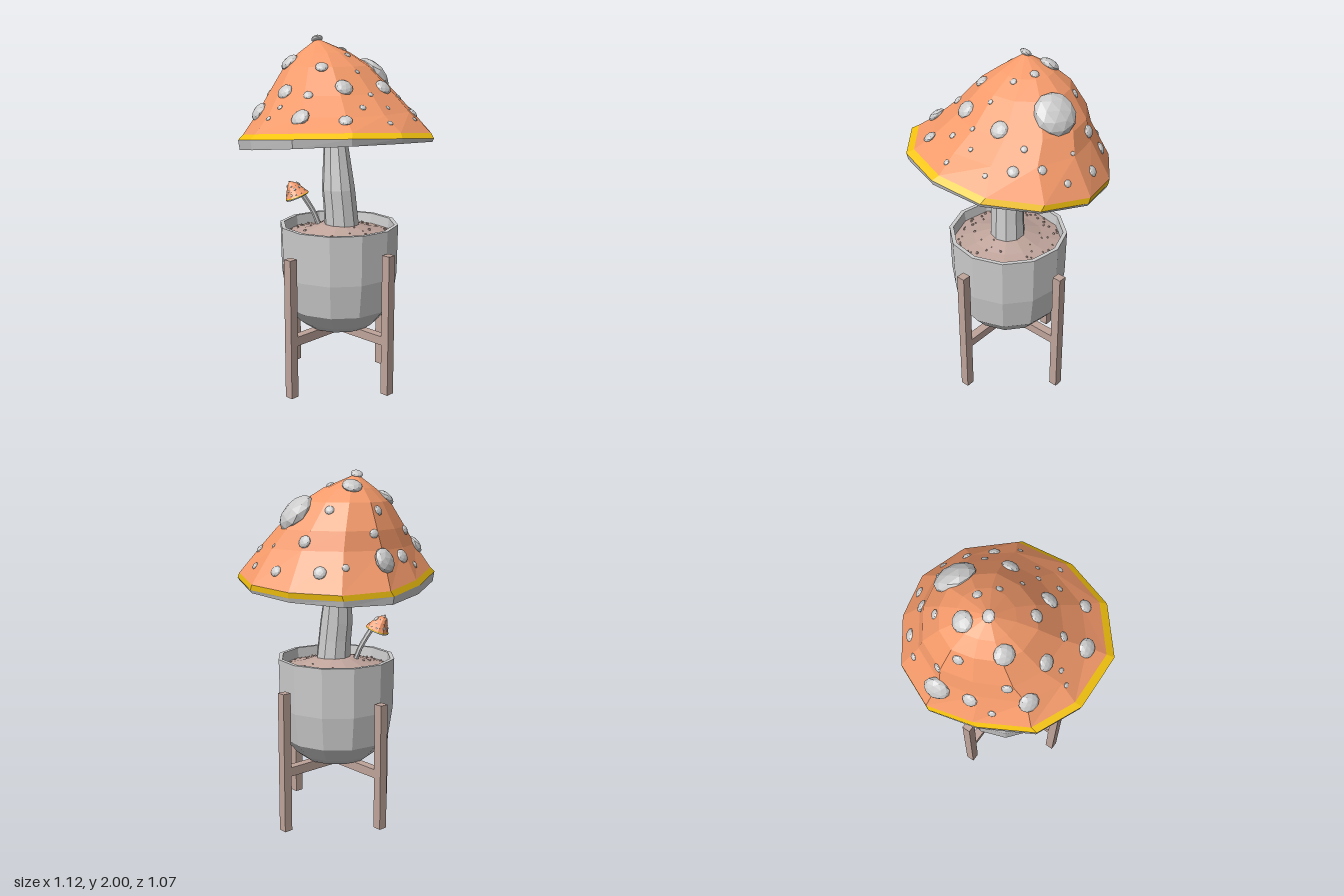
import * as THREE from 'three';

const mat = (color, side = THREE.FrontSide) =>
  new THREE.MeshStandardMaterial({ color, side, flatShading: true });
const grey = mat(0xcccccc);
const greyThin = mat(0xcccccc, THREE.DoubleSide);
const orange = mat(0xf59a6a);
const yellow = mat(0xf5c40f);
const wood = mat(0xbfa49b);

function add(parent, name, geometry, material, x = 0, y = 0, z = 0) {
  const mesh = new THREE.Mesh(geometry, material);
  mesh.name = name;
  mesh.position.set(x, y, z);
  parent.add(mesh);
  return mesh;
}

// Scaled copy of an outline at height y, optionally tilted along x and z
const ring = (outline, scale, cx, cz, y, tiltX = 0, tiltZ = 0) =>
  outline.map(([ox, oz]) => {
    const x = ox * scale + cx, z = oz * scale + cz;
    return [x, y + tiltX * x + tiltZ * z, z];
  });

// Skin through rings listed from top to bottom (outside faces out)
function loft(rings) {
  const pos = [];
  for (let r = 0; r < rings.length - 1; r++) {
    const top = rings[r], bottom = rings[r + 1], n = top.length;
    for (let i = 0; i < n; i++) {
      const j = (i + 1) % n;
      pos.push(...top[i], ...top[j], ...bottom[j], ...top[i], ...bottom[j], ...bottom[i]);
    }
  }
  const g = new THREE.BufferGeometry();
  g.setAttribute('position', new THREE.Float32BufferAttribute(pos, 3));
  g.computeVertexNormals();
  return g;
}

const circle = (n) => Array.from({ length: n }, (_, i) => {
  const a = (i / n) * Math.PI * 2;
  return [Math.sin(a), -Math.cos(a)];
});

// Irregular cap rim, seen from above
const RIM = [[0.08, -0.535], [0.33, -0.43], [0.5, -0.2], [0.555, 0.05], [0.455, 0.31], [0.225, 0.5],
  [-0.075, 0.53], [-0.355, 0.44], [-0.55, 0.215], [-0.56, -0.09], [-0.45, -0.325], [-0.18, -0.47]];

// Spots: x, z, radius
const SPOTS = [
  [0.07, -0.455, 0.07], [-0.1, -0.41, 0.04], [-0.22, -0.39, 0.02], [0.095, -0.4, 0.024],
  [0.01, -0.34, 0.028], [0.275, -0.385, 0.02], [0.37, -0.295, 0.035], [-0.35, -0.26, 0.055],
  [-0.24, -0.29, 0.028], [-0.165, -0.21, 0.055], [0.075, -0.21, 0.055], [0.24, -0.22, 0.025],
  [0.37, -0.175, 0.035], [-0.024, -0.137, 0.033], [-0.32, -0.08, 0.045], [-0.39, -0.045, 0.015],
  [-0.445, -0.075, 0.014], [0.1, -0.06, 0.024], [0.285, 0, 0.115], [0.48, -0.075, 0.03],
  [0.42, 0.02, 0.012], [0.04, 0.035, 0.018], [-0.17, 0.045, 0.035], [-0.31, 0.085, 0.026],
  [-0.42, 0.14, 0.052], [-0.01, 0.155, 0.014], [-0.15, 0.19, 0.05], [0.115, 0.23, 0.048],
  [0.47, 0.12, 0.02], [0.375, 0.205, 0.024], [0.265, 0.215, 0.018], [-0.03, 0.27, 0.015],
  [-0.285, 0.33, 0.036], [-0.135, 0.31, 0.018], [0.025, 0.345, 0.013], [0.275, 0.31, 0.03],
  [0.175, 0.405, 0.014], [-0.06, 0.435, 0.016]];

function createCap() {
  const cap = new THREE.Group();
  cap.name = 'mushroomCap';
  const edge = ring(RIM, 0.965, 0.02, -0.012, 1.465, -0.09, 0.1);
  const band = ring(RIM, 1, 0, 0, 1.435, -0.09, 0.1);

  const dome = add(cap, 'capTop', loft([
    ring(RIM, 0, -0.025, -0.135, 1.985),
    ring(RIM, 0.255, 0.012, -0.115, 1.91),
    ring(RIM, 0.43, 0.02, -0.1, 1.84),
    ring(RIM, 0.635, 0.025, -0.065, 1.7),
    ring(RIM, 0.77, 0.005, -0.02, 1.6),
    edge,
  ]), orange);
  add(cap, 'capBand', loft([edge, band]), yellow);
  add(cap, 'capUnderside', loft([
    band,
    ring(RIM, 0.985, 0, 0, 1.4, -0.06, 0.12),
    ring(RIM, 0.9, 0, 0, 1.405, -0.06, 0.12),
    ring(RIM, 0.56, 0, 0, 1.46, -0.06, 0.1),
    ring(RIM, 0.5, 0, 0, 1.5, -0.06, 0.1),
    ring(RIM, 0, 0, 0, 1.51),
  ]), greyThin);

  // Flattened spots dropped onto the dome
  const spotGeo = new THREE.IcosahedronGeometry(1, 1);
  const ray = new THREE.Raycaster();
  const up = new THREE.Vector3(0, 1, 0);
  for (const [x, z, r] of SPOTS) {
    ray.set(new THREE.Vector3(x, 3, z), new THREE.Vector3(0, -1, 0));
    const hit = ray.intersectObject(dome)[0];
    if (!hit) continue;
    const spot = add(cap, 'capSpot', spotGeo, grey, ...hit.point.toArray());
    spot.quaternion.setFromUnitVectors(up, hit.face.normal);
    spot.scale.set(r, r * 0.5, r);
  }
  return cap;
}

export function createModel() {
  const model = new THREE.Group();
  model.name = 'pottedMushroom';
  const cx = -0.013, cz = 0.02;

  // Stand: four uneven legs [x, z, bottom, top] and a crossed brace
  const stand = new THREE.Group();
  stand.name = 'stand';
  model.add(stand);
  for (const [x, z, y0, y1] of [[-0.39, cz, 0.02, 0.82], [0.365, cz, 0, 0.805],
    [cx, 0.395, 0.035, 0.84], [cx, -0.355, 0.03, 0.75]]) {
    add(stand, 'standLeg', new THREE.BoxGeometry(0.05, y1 - y0, 0.05), wood, x, (y0 + y1) / 2, z);
  }
  add(stand, 'standBraceAcross', new THREE.BoxGeometry(0.72, 0.052, 0.05), wood, cx, 0.348, cz);
  add(stand, 'standBraceAlong', new THREE.BoxGeometry(0.05, 0.05, 0.72), wood, cx, 0.348, cz);

  // Faceted pot with an open rim
  const potProfile = [[0, 0.37], [0.19, 0.37], [0.235, 0.405], [0.305, 0.49], [0.333, 0.68],
    [0.338, 0.96], [0.315, 0.96], [0.305, 0.87]].map(([r, y]) => new THREE.Vector2(r, y));
  add(model, 'pot', new THREE.LatheGeometry(potProfile, 12, 0.1), greyThin, cx, 0, cz);

  // Soil mound with scattered crumbs
  const soilProfile = [[0.312, 0.9], [0.2, 0.925], [0.1, 0.96], [0, 0.965]]
    .map(([r, y]) => new THREE.Vector2(r, y));
  add(model, 'soil', new THREE.LatheGeometry(soilProfile, 12, 0.1), wood, cx, 0, cz);
  let seed = 7;
  const rand = () => (seed = (seed * 16807) % 2147483647) / 2147483647;
  const crumbGeo = new THREE.DodecahedronGeometry(1);
  for (let i = 0; i < 60; i++) {
    const a = i * 2.4, d = 0.12 + 0.17 * Math.sqrt(rand());
    const y = d > 0.2 ? 0.925 - (d - 0.2) * 0.22 : 0.96 - (d - 0.1) * 0.35;
    const crumb = add(model, 'soilCrumb', crumbGeo, wood, cx + d * Math.sin(a), y, cz + d * Math.cos(a));
    crumb.rotation.set(rand() * 3, rand() * 3, 0);
    crumb.scale.setScalar(0.004 + 0.005 * rand());
  }

  // Main stem, slightly bent
  const ten = circle(10);
  add(model, 'stem', loft([
    ring(ten, 0.062, -0.01, -0.01, 1.52),
    ring(ten, 0.07, -0.01, -0.005, 1.4),
    ring(ten, 0.08, -0.012, 0.005, 1.3),
    ring(ten, 0.094, -0.016, 0.02, 1.16),
    ring(ten, 0.095, -0.01, 0.028, 1.06),
    ring(ten, 0.1, -0.002, 0.035, 0.92),
  ]), grey);

  const cap = createCap();
  model.add(cap);

  // Small mushroom leaning out behind the stem
  const sprout = new THREE.Group();
  sprout.name = 'smallMushroom';
  model.add(sprout);
  const path = new THREE.CatmullRomCurve3([
    new THREE.Vector3(-0.075, 0.93, -0.07), new THREE.Vector3(-0.1, 1.02, -0.095),
    new THREE.Vector3(-0.165, 1.15, -0.14)]);
  add(sprout, 'smallStem', new THREE.TubeGeometry(path, 6, 0.015, 7), grey);
  const smallCap = new THREE.Group();
  smallCap.name = 'smallCap';
  const copy = cap.clone();
  copy.position.y = -1.46;
  smallCap.add(copy);
  smallCap.position.set(-0.178, 1.12, -0.148);
  smallCap.scale.set(0.125, 0.17, 0.125);
  smallCap.quaternion.setFromUnitVectors(new THREE.Vector3(0, 1, 0),
    new THREE.Vector3(-0.35, 1, -0.15).normalize());
  sprout.add(smallCap);

  return model;
}
